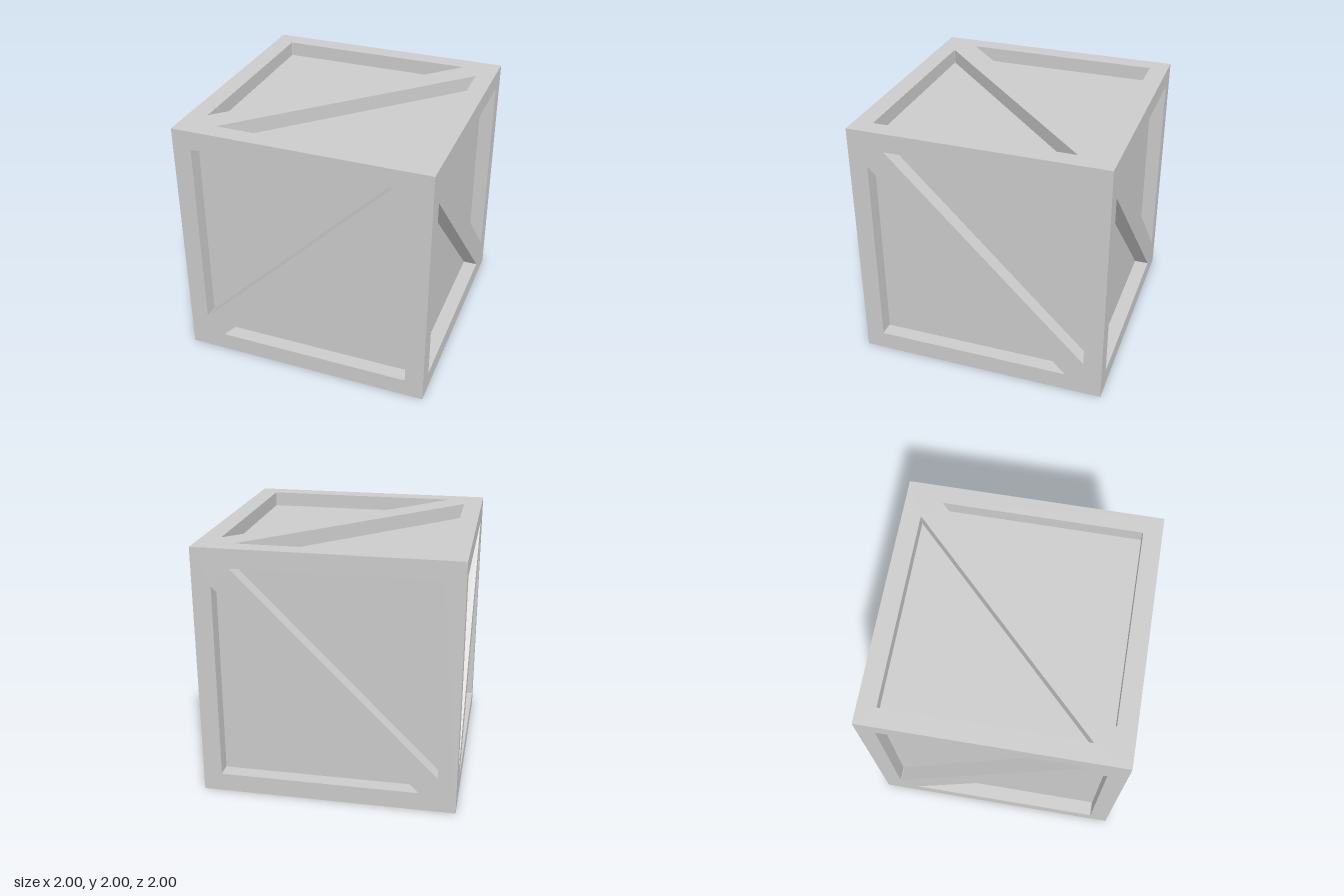
import * as THREE from 'three';

const DEPTH = 0.117;   // recess depth
const INNER = 0.853;   // half width inside the border
const BRACE = 0.142;   // offset of the brace edges from the diagonal
const CLIP = 0.01;     // tiny rounding of the hole corners

// Triangle with slightly rounded corners
function triangle(points) {
  const path = new THREE.Path();
  points.forEach((p, i) => {
    const prev = points[(i + 2) % 3], next = points[(i + 1) % 3];
    const a = p.clone().add(prev.clone().sub(p).setLength(CLIP));
    const b = p.clone().add(next.clone().sub(p).setLength(CLIP));
    if (i === 0) path.moveTo(a.x, a.y); else path.lineTo(a.x, a.y);
    path.quadraticCurveTo(p.x, p.y, b.x, b.y);
  });
  path.closePath();
  return path;
}

// Square frame with one diagonal brace, its outer edges mitred at 45 degrees
function panelGeometry() {
  const shape = new THREE.Shape([[-1, -1], [1, -1], [1, 1], [-1, 1]].map(([x, y]) => new THREE.Vector2(x, y)));
  for (const s of [1, -1]) {
    shape.holes.push(triangle([
      new THREE.Vector2(-s * INNER, s * INNER),
      new THREE.Vector2(-s * INNER, -s * (INNER - BRACE)),
      new THREE.Vector2(s * (INNER - BRACE), s * INNER),
    ]));
  }
  const geo = new THREE.ExtrudeGeometry(shape, { depth: DEPTH, bevelEnabled: false, curveSegments: 3 });
  geo.translate(0, 0, 1 - DEPTH);
  const pos = geo.attributes.position;
  for (let i = 0; i < pos.count; i++) {
    const x = pos.getX(i), y = pos.getY(i);
    if (Math.abs(x) > 0.99 && Math.abs(y) > 0.99 && pos.getZ(i) < 1 - DEPTH / 2) {
      pos.setXY(i, x * (1 - DEPTH), y * (1 - DEPTH));
    }
  }
  geo.computeVertexNormals();
  return geo;
}

export function createModel() {
  const crate = new THREE.Group();
  crate.name = 'crate';
  const material = new THREE.MeshStandardMaterial({ color: 0xcccccc, flatShading: true });

  // Inner box forms the floors of the recesses
  const size = 2 - 2 * DEPTH;
  const core = new THREE.Mesh(new THREE.BoxGeometry(size, size, size), material);
  core.name = 'innerBox';
  core.position.y = 1;
  crate.add(core);

  // Six braced frames; the last turn sets the direction of the brace
  const geo = panelGeometry();
  const q = Math.PI / 2;
  const faces = [
    ['front', 0, 0, 0],
    ['back', 0, 2 * q, q],
    ['left', 0, q, q],
    ['right', 0, -q, 0],
    ['top', -q, 0, 0],
    ['bottom', q, 0, q],
  ];
  for (const [name, rx, ry, turn] of faces) {
    const panel = new THREE.Mesh(geo, material);
    panel.name = name + 'Frame';
    panel.rotation.set(rx, ry, turn);
    panel.position.y = 1;
    crate.add(panel);
  }
  return crate;
}
